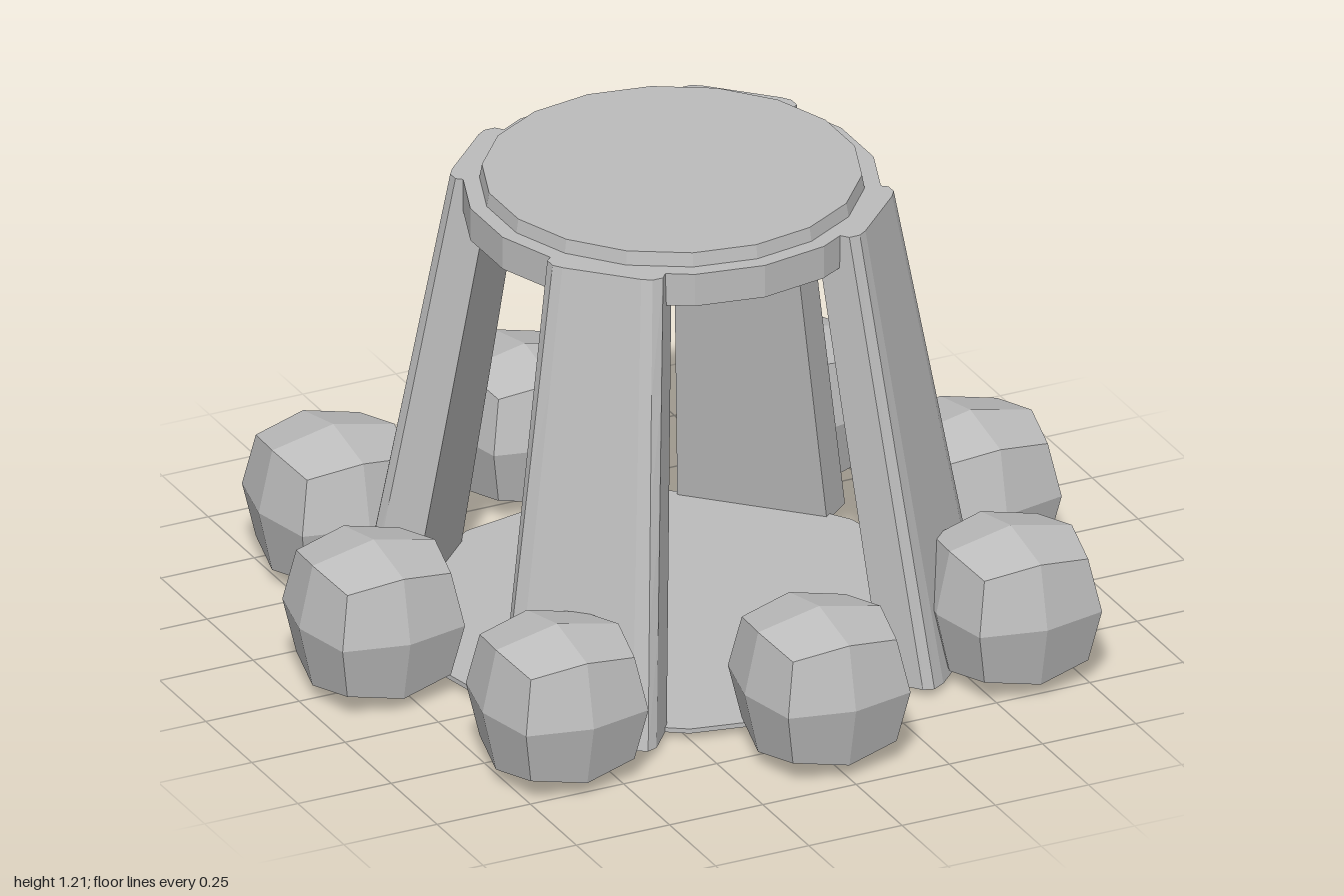
import * as THREE from 'three';

const grey = new THREE.MeshStandardMaterial({ color: 0xbcbcbc, flatShading: true });
grey.name = 'plain grey';

function add(parent, name, geometry) {
  const mesh = new THREE.Mesh(geometry, grey);
  mesh.name = name;
  parent.add(mesh);
  return mesh;
}

// Flat faceted disc between two heights
function disc(parent, name, rTop, rBottom, y0, y1, sides) {
  const mesh = add(parent, name, new THREE.CylinderGeometry(rTop, rBottom, y1 - y0, sides));
  mesh.position.y = (y0 + y1) / 2;
}

// Squarish ball: a 2x2x2 cube with edge and corner points drawn inward
function ballGeometry() {
  const g = new THREE.BoxGeometry(2, 2, 2, 2, 2, 2);
  const p = g.attributes.position;
  const reach = [0, 0.2, 0.164, 0.139];
  for (let i = 0; i < p.count; i++) {
    const v = new THREE.Vector3().fromBufferAttribute(p, i).round();
    const k = reach[Math.abs(v.x) + Math.abs(v.y) + Math.abs(v.z)];
    p.setXYZ(i, v.x * k, v.y * k * 0.975, v.z * k);
  }
  g.computeVertexNormals();
  return g;
}

// Leaning, tapering leg lofted from bevelled cross-sections; +z points outward
function legGeometry() {
  // half width and outward distance at foot and head
  const foot = [[0.19, 0.6], [0.2, 0.705], [0.187, 0.73], [0.15, 0.74]];
  const head = [[0.138, 0.41], [0.147, 0.5], [0.127, 0.52], [0.1, 0.525]];
  const section = (half) => [...half, ...half.map(([w, r]) => [-w, r]).reverse()];
  const a = section(foot), b = section(head), n = a.length, rows = 4;
  const pos = [], index = [];
  for (let j = 0; j <= rows; j++) {
    const t = j / rows;
    for (let i = 0; i < n; i++) {
      pos.push(
        THREE.MathUtils.lerp(a[i][0], b[i][0], t),
        THREE.MathUtils.lerp(0.02, 1.175, t),
        THREE.MathUtils.lerp(a[i][1], b[i][1], t)
      );
    }
  }
  for (let j = 0; j < rows; j++) {
    for (let i = 0; i < n; i++) {
      const p = j * n + i, q = j * n + (i + 1) % n;
      index.push(p, p + n, q, q, p + n, q + n);
    }
  }
  // end caps
  const top = rows * n;
  for (let i = 1; i < n - 1; i++) {
    index.push(0, i, i + 1, top, top + i + 1, top + i);
  }
  const g = new THREE.BufferGeometry();
  g.setAttribute('position', new THREE.Float32BufferAttribute(pos, 3));
  // walls and caps come out inside-out in this corner order, so reverse if needed
  const v = (k) => new THREE.Vector3(pos[3 * k], pos[3 * k + 1], pos[3 * k + 2]);
  let volume = 0;
  for (let k = 0; k < index.length; k += 3) {
    volume += v(index[k]).dot(v(index[k + 1]).cross(v(index[k + 2])));
  }
  if (volume < 0) index.reverse();
  g.setIndex(index);
  const flat = g.toNonIndexed();
  flat.computeVertexNormals();
  return flat;
}

export function createModel() {
  const model = new THREE.Group();
  model.name = 'stand';

  disc(model, 'basePlate', 0.655, 0.655, 0.02, 0.032, 16);
  disc(model, 'topRing', 0.505, 0.505, 1.09, 1.175, 18);
  disc(model, 'topCap', 0.458, 0.465, 1.17, 1.21, 18);

  // Four legs on the diagonals
  const leg = legGeometry();
  for (let i = 0; i < 4; i++) {
    add(model, 'leg', leg).rotation.y = Math.PI / 4 + (i * Math.PI) / 2;
  }

  // Eight balls around the base
  const ball = ballGeometry();
  for (let i = 0; i < 8; i++) {
    const angle = (i * Math.PI) / 4;
    const r = i % 2 ? 0.86 : 0.8;
    add(model, 'ball', ball).position.set(Math.sin(angle) * r, 0.198, Math.cos(angle) * r);
  }
  return model;
}
